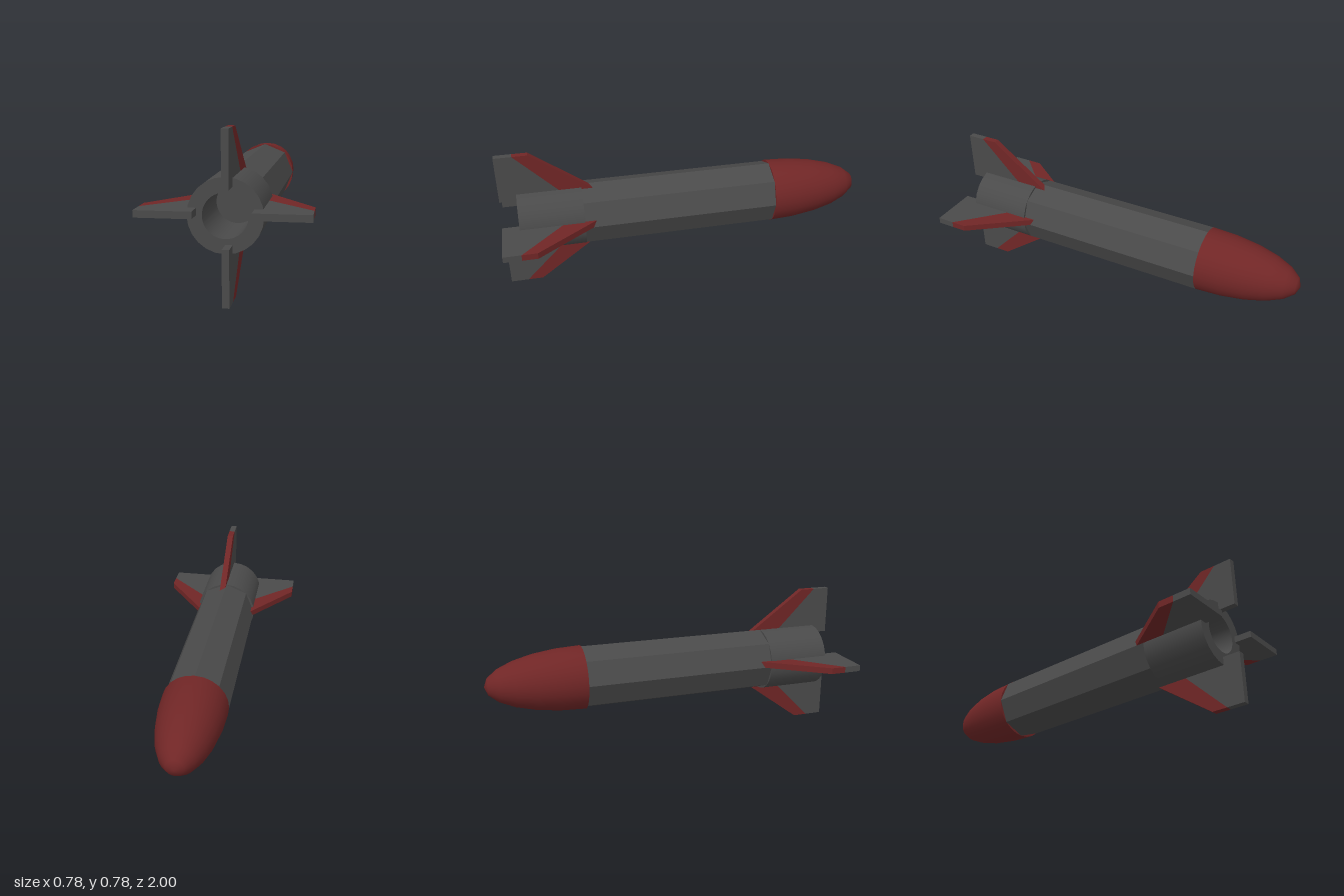
import * as THREE from 'three';

const AXIS_Y = 0.392, RADIUS = 0.173, BORE = 0.104, FIN_T = 0.033;
const BODY_FRONT = -0.48, BODY_BACK = 0.57, ENGINE_BACK = 0.91;

export function createModel() {
  const model = new THREE.Group();
  const grey = new THREE.MeshStandardMaterial({ color: 0x4a4a4a });
  const greyFlat = new THREE.MeshStandardMaterial({ color: 0x4a4a4a, flatShading: true });
  const greyInside = new THREE.MeshStandardMaterial({ color: 0x4a4a4a, side: THREE.BackSide });
  const red = new THREE.MeshStandardMaterial({ color: 0x702626 });

  const add = (parent, name, geometry, material) => {
    const mesh = new THREE.Mesh(geometry, material);
    mesh.name = name;
    parent.add(mesh);
    return mesh;
  };

  // Cylinder lying along z between two stations
  const tube = (r, z0, z1, sides, open) =>
    new THREE.CylinderGeometry(r, r, z1 - z0, sides, 1, open)
      .rotateX(Math.PI / 2).translate(0, 0, (z0 + z1) / 2);

  // Everything is built around the z axis, then lifted
  const rocket = new THREE.Group();
  rocket.name = 'rocket';
  rocket.position.y = AXIS_Y;
  model.add(rocket);

  // Octagonal body
  add(rocket, 'body', tube(RADIUS, BODY_FRONT, BODY_BACK, 8, false), greyFlat);

  // Half-ellipsoid nose with a flat base
  const nose = new THREE.Group();
  nose.name = 'nose';
  rocket.add(nose);
  add(nose, 'noseCone', new THREE.SphereGeometry(1, 24, 6, 0, Math.PI * 2, 0, Math.PI / 2)
    .scale(RADIUS, 1 + BODY_FRONT, RADIUS).rotateX(-Math.PI / 2).translate(0, 0, BODY_FRONT), red);
  add(nose, 'noseBase', new THREE.CircleGeometry(RADIUS, 24).translate(0, 0, BODY_FRONT), red);

  // Round engine with a bored nozzle
  const engine = new THREE.Group();
  engine.name = 'engine';
  rocket.add(engine);
  add(engine, 'engineShell', tube(RADIUS, BODY_BACK, ENGINE_BACK, 24, true), grey);
  add(engine, 'engineFrontCap',
    new THREE.CircleGeometry(RADIUS, 24).rotateY(Math.PI).translate(0, 0, BODY_BACK), grey);
  add(engine, 'nozzleBore', tube(BORE, BODY_BACK, ENGINE_BACK, 48, true), greyInside);
  add(engine, 'nozzleFloor', new THREE.CircleGeometry(BORE, 48).translate(0, 0, BODY_BACK + 0.002), grey);
  const rim = new THREE.Shape(Array.from({ length: 24 }, (_, i) => {
    const a = i * Math.PI / 12;
    return new THREE.Vector2(RADIUS * Math.cos(a), RADIUS * Math.sin(a));
  }));
  rim.holes.push(new THREE.Path().absarc(0, 0, BORE, 0, Math.PI * 2, true));
  add(engine, 'engineRim', new THREE.ShapeGeometry(rim, 24).translate(0, 0, ENGINE_BACK), grey);

  // Fin plates drawn as (z, distance from axis), centred on their thickness
  const plate = (points) =>
    new THREE.ExtrudeGeometry(new THREE.Shape(points.map(([z, r]) => new THREE.Vector2(z, r))),
      { depth: FIN_T, bevelEnabled: false })
      .translate(0, 0, -FIN_T / 2).rotateY(-Math.PI / 2);
  const finEdge = plate([[0.47, 0.13], [0.65, 0.13], [0.907, 0.391], [0.827, 0.391]]);
  const finPanel = plate([[0.65, 0.13], [1, 0.13], [1, 0.391], [0.907, 0.391]]);

  // Four fins; each pair sits to one side of the axis
  ['topFin', 'rightFin', 'bottomFin', 'leftFin'].forEach((name, i) => {
    const fin = new THREE.Group();
    fin.name = name;
    fin.rotation.z = i * Math.PI / 2;
    if (i % 2) fin.position.y = FIN_T / 2;
    else fin.position.x = FIN_T / 2;
    add(fin, 'finLeadingEdge', finEdge, red);
    add(fin, 'finPanel', finPanel, grey);
    rocket.add(fin);
  });

  return model;
}
